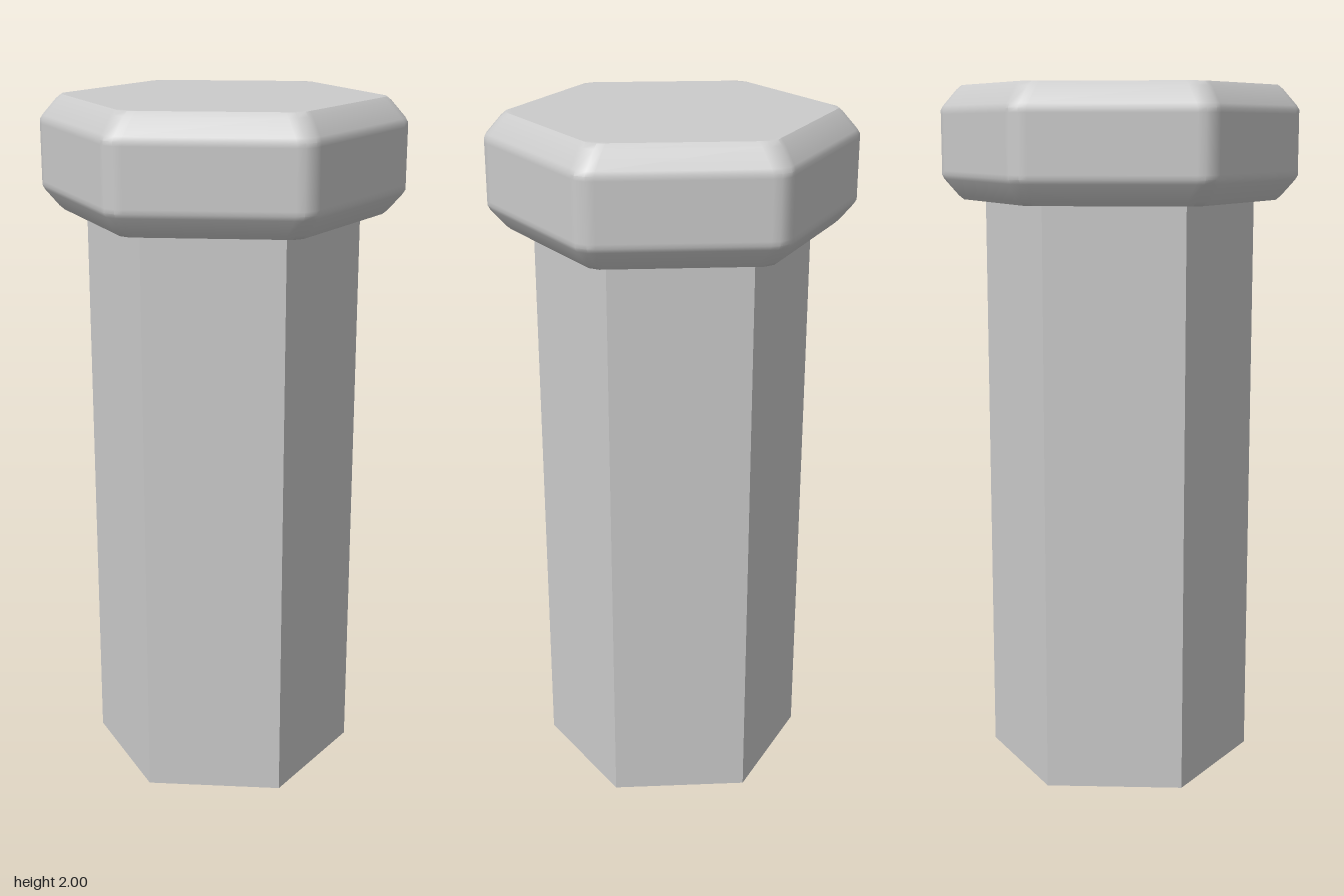
import * as THREE from 'three';
import { toCreasedNormals } from 'three/addons/utils/BufferGeometryUtils.js';

// Hexagon outline with slightly blunted corners, at a given apothem
function hexRing(apothem, y) {
  const radius = apothem / Math.cos(Math.PI / 6);
  const corner = k => new THREE.Vector3(
    radius * Math.cos(k * Math.PI / 3), y, -radius * Math.sin(k * Math.PI / 3));
  const points = [];
  for (let k = 0; k < 6; k++) {
    // two points on each side of the corner: outer ones keep the flats flat
    for (const d of [-0.04, -0.018, 0.018, 0.04]) {
      points.push(corner(k).lerp(corner(k + Math.sign(d)), Math.abs(d) / radius));
    }
  }
  return points;
}

// Closed solid skinned through [apothem, height] sections, bottom to top
function hexSolid(sections) {
  const rings = sections.map(([a, y]) => hexRing(a, y));
  const n = rings[0].length, last = rings.length - 1;
  const points = rings.flat(), index = [];
  points.push(new THREE.Vector3(0, sections[0][1], 0), new THREE.Vector3(0, sections[last][1], 0));
  const bottom = points.length - 2, top = points.length - 1;
  for (let i = 0; i < n; i++) {
    const j = (i + 1) % n;
    for (let r = 0; r < last; r++) {
      const a = r * n + i, b = r * n + j;
      index.push(a, b, b + n, a, b + n, a + n);
    }
    index.push(bottom, j, i, top, last * n + i, last * n + j);
  }
  const geometry = new THREE.BufferGeometry().setFromPoints(points);
  geometry.setIndex(index);
  return toCreasedNormals(geometry, THREE.MathUtils.degToRad(40));
}

export function createModel() {
  const group = new THREE.Group();
  group.name = 'hexBolt';

  // Hexagonal shank, a thin tube open at the bottom
  const shankHeight = 1.69;
  const shank = new THREE.Mesh(
    new THREE.CylinderGeometry(0.39, 0.39, shankHeight, 6, 1, true, Math.PI / 6),
    new THREE.MeshStandardMaterial({ color: 0xcccccc, flatShading: true, side: THREE.DoubleSide }));
  shank.position.y = shankHeight / 2;
  shank.name = 'shank';

  // Head with softened bevels above and below
  const half = [[0.453, 0.08], [0.453, 0.092], [0.447, 0.104], [0.412, 0.15], [0.399, 0.162], [0.386, 0.162]];
  const middle = 1.838;
  const sections = [
    ...half.map(([a, h]) => [a, middle - h]).reverse(),
    ...half.map(([a, h]) => [a, middle + h]),
  ];
  const head = new THREE.Mesh(hexSolid(sections), new THREE.MeshStandardMaterial({ color: 0xcccccc }));
  head.name = 'head';

  group.add(shank, head);
  return group;
}
